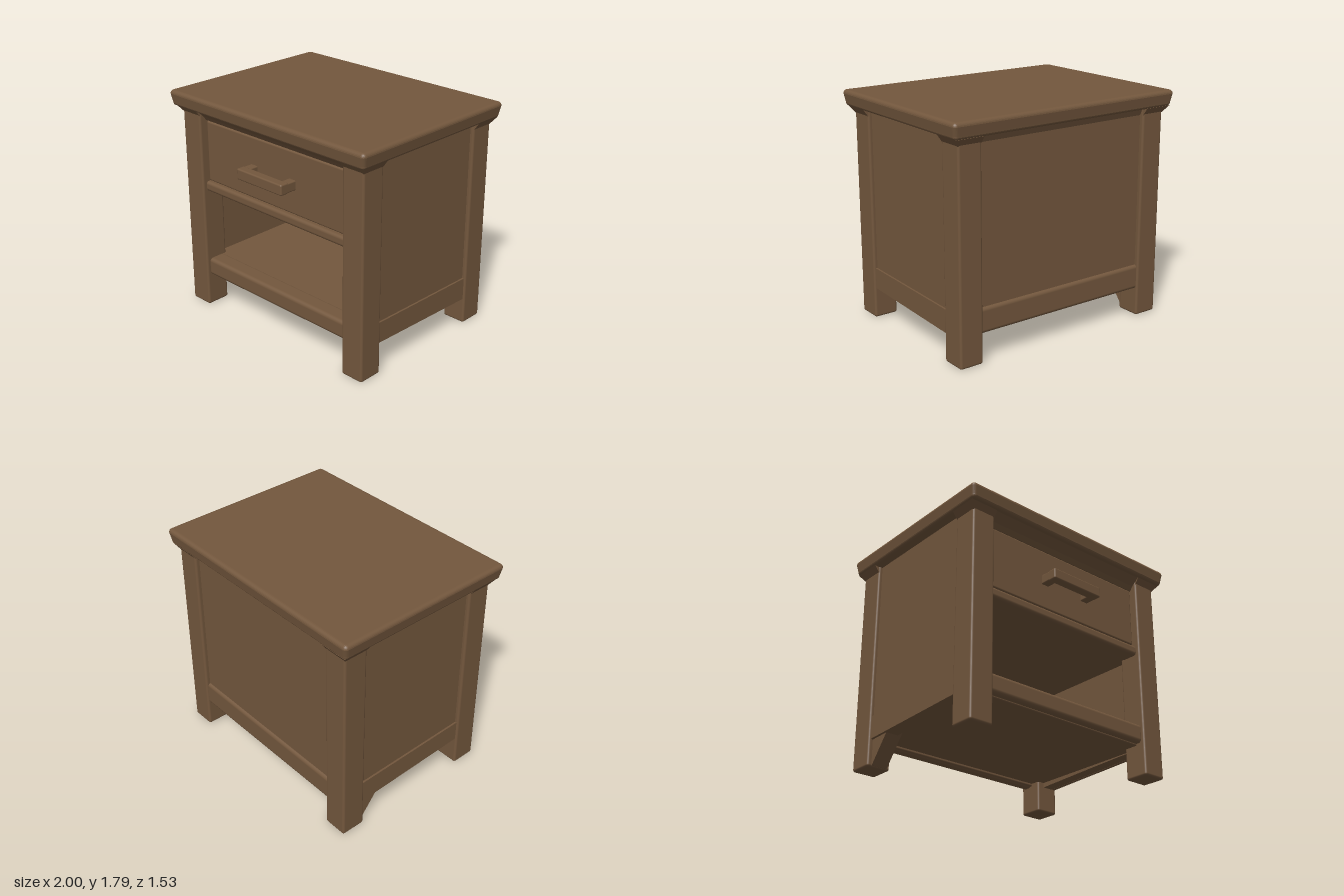
import * as THREE from 'three';
import { RoundedBoxGeometry } from 'three/addons/geometries/RoundedBoxGeometry.js';

export function createModel() {
  const model = new THREE.Group();
  model.name = 'nightstand';
  const wood = new THREE.MeshStandardMaterial({ color: 0x73573d });
  wood.name = 'brown wood';

  function add(name, geometry) {
    const mesh = new THREE.Mesh(geometry, wood);
    mesh.name = name;
    model.add(mesh);
    return mesh;
  }

  // Softened box given by its min and max on each axis
  function block(name, [x0, x1], [y0, y1], [z0, z1], radius = 0.015) {
    const mesh = add(name, new RoundedBoxGeometry(x1 - x0, y1 - y0, z1 - z0, 3, radius));
    mesh.position.set((x0 + x1) / 2, (y0 + y1) / 2, (z0 + z1) / 2);
    return mesh;
  }

  // Profile of [z, y] points swept along x from x0 to x1
  function sweep(name, points, x0, x1) {
    const shape = new THREE.Shape(points.map(([z, y]) => new THREE.Vector2(-z, y)));
    const geometry = new THREE.ExtrudeGeometry(shape, { depth: x1 - x0, bevelEnabled: false });
    geometry.rotateY(Math.PI / 2);
    geometry.translate(x0, 0, 0);
    return add(name, geometry);
  }

  // Table top, drawn in a little toward its lower edge
  const top = block('top', [-1, 1], [1.665, 1.79], [-0.765, 0.755], 0.03);
  const p = top.geometry.attributes.position;
  for (let i = 0; i < p.count; i++) {
    if (p.getY(i) < 0) {
      p.setX(i, p.getX(i) * 0.988);
      p.setZ(i, p.getZ(i) * 0.985);
    }
  }
  top.geometry.computeVertexNormals();

  for (const side of [-1, 1]) {
    const span = (a, b) => (side > 0 ? [a, b] : [-b, -a]);

    // Legs with a flared cap under the top
    for (const [place, z0, z1] of [['front', 0.48, 0.68], ['back', -0.71, -0.51]]) {
      block(place + 'Leg', span(0.74, 0.935), [0, 1.68], [z0, z1], 0.018);
      const flare = new THREE.BoxGeometry(0.19, 0.055, 0.19);
      const q = flare.attributes.position;
      const front = z0 > 0 ? 1 : -1;
      for (let i = 0; i < q.count; i++) {
        if (q.getY(i) > 0) {
          if (q.getX(i) * side > 0) q.setX(i, q.getX(i) + side * 0.04);
          if (q.getZ(i) * front > 0) q.setZ(i, q.getZ(i) + front * 0.04);
        }
      }
      flare.computeVertexNormals();
      add(place + 'LegFlare', flare).position.set(side * 0.838, 1.642, (z0 + z1) / 2);
    }

    // Side panel with its sloping lower edge
    const [a, b] = span(0.8, 0.905);
    sweep('sidePanel', [[0.52, 0.245], [0.52, 1.67], [-0.55, 1.67], [-0.55, 0.21], [0.15, 0.235]].reverse(), a, b);
    const [c, d] = span(0.895, 0.92);
    sweep('sideRail', [[0.5, 0.245], [0.5, 0.41], [-0.53, 0.39], [-0.53, 0.21]].reverse(), c, d);
  }

  // Back panel and its lower rail
  block('backPanel', [-0.82, 0.82], [0.23, 1.67], [-0.675, -0.59], 0.01);
  block('backRail', [-0.78, 0.78], [0.22, 0.42], [-0.695, -0.6], 0.03);

  // Bottom shelf and rounded front edge
  block('shelf', [-0.82, 0.82], [0.25, 0.405], [-0.62, 0.6], 0.01);
  block('shelfEdge', [-0.76, 0.76], [0.262, 0.408], [0.5, 0.65], 0.03);

  // Drawer compartment floor and rail
  block('drawerFloor', [-0.82, 0.82], [1.0, 1.08], [-0.62, 0.58], 0.01);
  block('drawerRail', [-0.76, 0.76], [0.995, 1.075], [0.5, 0.645], 0.025);

  // Drawer
  block('drawer', [-0.73, 0.73], [1.083, 1.572], [0.3, 0.625], 0.015);

  // Cove moulding between the drawer and the top
  sweep('frontCove', [[0.4, 1.575], [0.62, 1.575], [0.645, 1.61], [0.71, 1.67], [0.4, 1.67]], -0.76, 0.76);
  sweep('backCove', [[-0.6, 1.6], [-0.67, 1.6], [-0.7, 1.67], [-0.6, 1.67]].reverse(), -0.76, 0.76);

  // Drawer pull
  block('handleBar', [-0.235, 0.235], [1.275, 1.36], [0.695, 0.768], 0.012);
  for (const x of [-0.2, 0.2]) {
    block('handlePost', [x - 0.035, x + 0.035], [1.28, 1.355], [0.6, 0.72], 0.01);
  }

  // Brace at one back leg
  sweep('legBrace', [[-0.32, 0.24], [-0.54, 0.24], [-0.54, 0.01], [-0.505, 0.01]], -0.9, -0.77);

  // Sweeps may wind either way, so show both faces
  wood.side = THREE.DoubleSide;
  return model;
}
